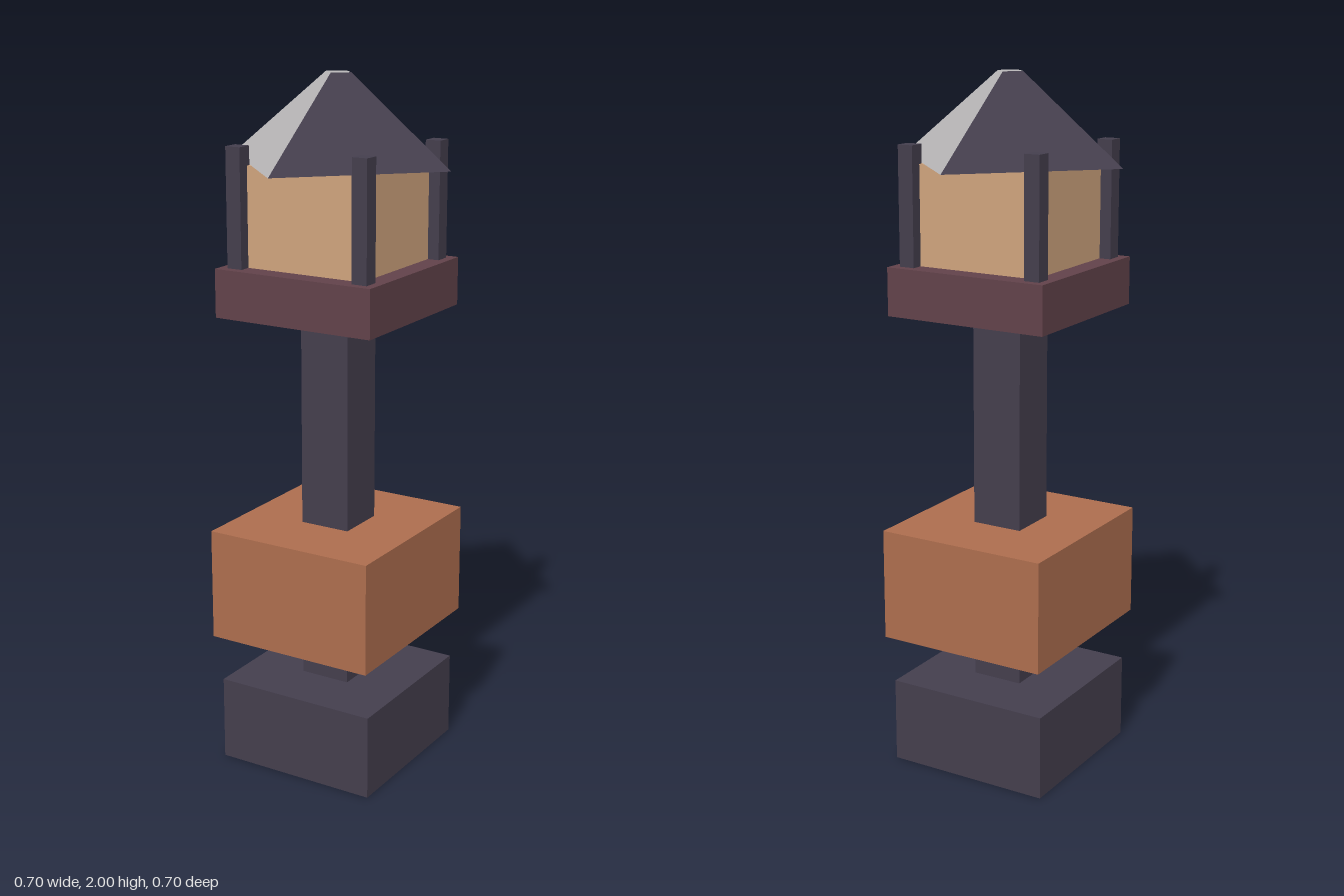
import * as THREE from 'three';

function makeMaterial(name, color) {
  const m = new THREE.MeshStandardMaterial({ color });
  m.name = name;
  return m;
}

export function createModel() {
  const group = new THREE.Group();
  group.name = 'lanternPost';

  const slate = makeMaterial('dark slate', 0x443e4d);
  const terracotta = makeMaterial('terracotta', 0xad6d4e);
  const maroon = makeMaterial('maroon', 0x62424a);
  const tan = makeMaterial('warm tan', 0xcfa47d);
  const grey = makeMaterial('light grey', 0xbab8b9);

  // Box given by half widths and its bottom and top heights
  function addBox(name, material, halfX, halfZ, y0, y1, x = 0, z = 0) {
    const mesh = new THREE.Mesh(new THREE.BoxGeometry(halfX * 2, y1 - y0, halfZ * 2), material);
    mesh.position.set(x, (y0 + y1) / 2, z);
    mesh.name = name;
    group.add(mesh);
  }

  // Stacked blocks around a square column
  addBox('base', slate, 0.246, 0.246, 0, 0.248);
  addBox('column', slate, 0.076, 0.076, 0.248, 1.34);
  addBox('collar', terracotta, 0.256, 0.277, 0.395, 0.72);
  addBox('platform', maroon, 0.246, 0.246, 1.34, 1.477);
  addBox('lanternBody', tan, 0.187, 0.187, 1.477, 1.757);

  // Four corner posts
  for (const sx of [-1, 1])
    for (const sz of [-1, 1])
      addBox('cornerPost', slate, 0.023, 0.023, 1.477, 1.81, sx * 0.198, sz * 0.198);

  // Truncated pyramid roof: alternating slopes, grey cap, slate underside
  const roofGeometry = new THREE.CylinderGeometry(0.04, 0.348, 0.242, 4, 1).toNonIndexed();
  roofGeometry.computeVertexNormals();
  roofGeometry.clearGroups();
  for (let i = 0; i < 4; i++) roofGeometry.addGroup(i * 6, 6, i % 2);
  roofGeometry.addGroup(24, 12, 1);
  roofGeometry.addGroup(36, 12, 0);
  const roof = new THREE.Mesh(roofGeometry, [slate, grey]);
  roof.position.y = 1.879;
  roof.name = 'roof';
  group.add(roof);

  return group;
}
